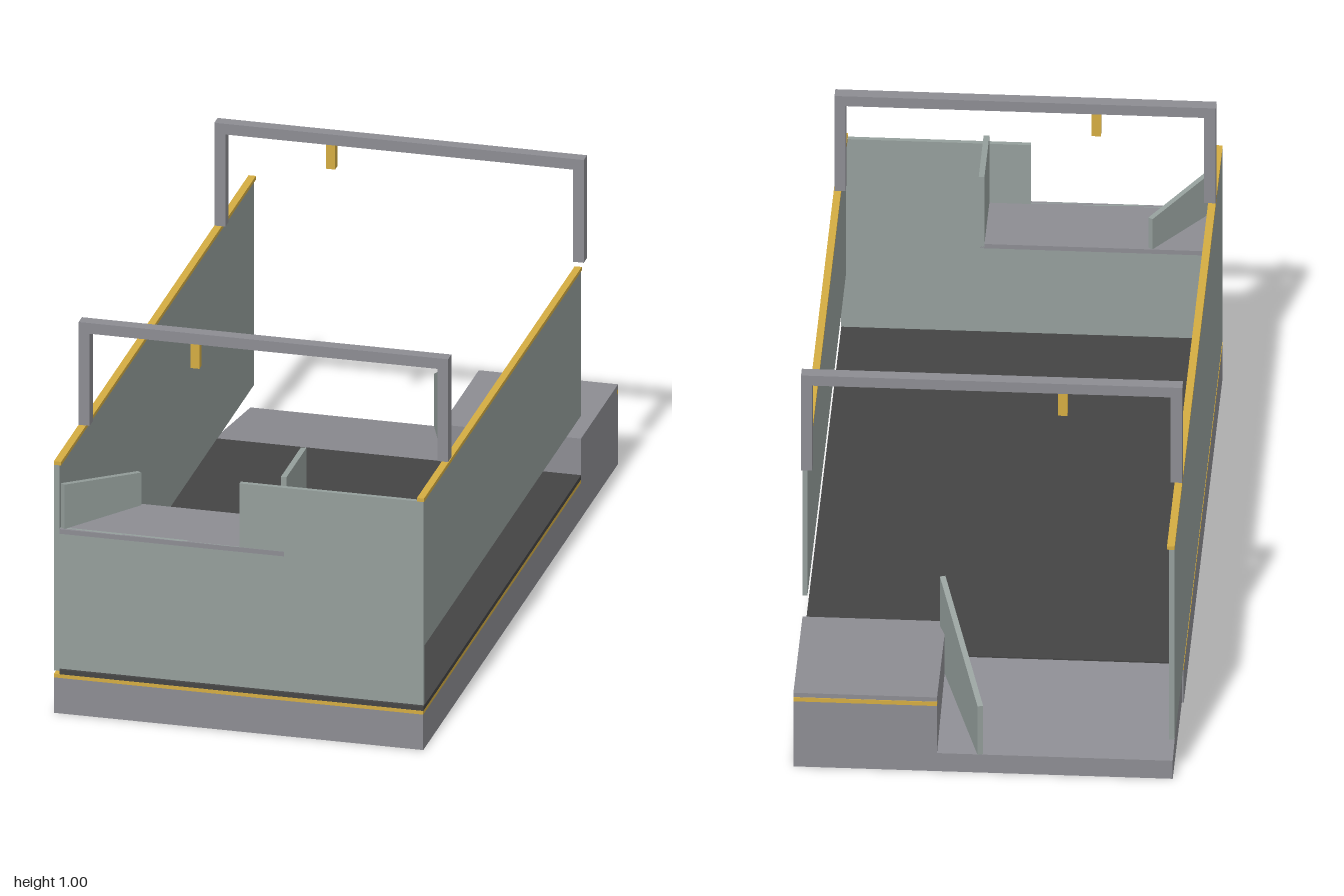
import * as THREE from 'three';

const mat = (color) => new THREE.MeshStandardMaterial({ color });

export function createModel() {
  const model = new THREE.Group();
  const hullMat = mat(0x8c8c92), wallMat = mat(0x949e9b);
  const floorMat = mat(0x444444), trimMat = mat(0xd4ac42);

  const add = (name, geometry, material) => {
    const mesh = new THREE.Mesh(geometry, material);
    mesh.name = name;
    model.add(mesh);
    return mesh;
  };

  // Box given by its extents on each axis
  const box = (name, material, [x0, x1], [y0, y1], [z0, z1]) => {
    const mesh = add(name, new THREE.BoxGeometry(x1 - x0, y1 - y0, z1 - z0), material);
    mesh.position.set((x0 + x1) / 2, (y0 + y1) / 2, (z0 + z1) / 2);
    return mesh;
  };

  const extrude = (points, depth) => new THREE.ExtrudeGeometry(
    new THREE.Shape(points.map(([x, y]) => new THREE.Vector2(x, y))),
    { depth, bevelEnabled: false });

  // Upright panel between two plan points [x, z], each with its bottom and top heights
  const panel = (name, material, a, b, [a0, a1], [b0, b1], t) => {
    const dx = b[0] - a[0], dz = b[1] - a[1], len = Math.hypot(dx, dz);
    const g = extrude([[0, a0], [len, b0], [len, b1], [0, a1]], t);
    g.translate(0, 0, -t / 2);
    const mesh = add(name, g, material);
    mesh.position.set(a[0], 0, a[1]);
    mesh.rotation.y = Math.atan2(-dz, dx);
  };

  // Base, trim band and floor
  box('baseHull', hullMat, [-0.5, 0.495], [0, 0.1], [-0.62, 1]);
  box('baseTrim', trimMat, [-0.5, 0.495], [0.1, 0.11], [-0.62, 1]);
  box('floor', floorMat, [-0.485, 0.495], [0.11, 0.122], [-0.62, 0.999]);

  // Rear block with its trim strip
  box('rearBlock', hullMat, [0.12, 0.495], [0, 0.225], [-1, -0.62]);
  box('rearBlockTrim', trimMat, [0.12, 0.495], [0.2, 0.212], [-1.002, -0.99]);

  // Rear ramp, its profile drawn along z and extruded across x
  const ramp = extrude([[0.62, 0], [1, 0], [1, 0.055], [0.62, 0.118]], 0.615);
  ramp.rotateY(Math.PI / 2);
  ramp.translate(-0.495, 0, 0);
  add('rearRamp', ramp, hullMat);
  panel('rampFin', wallMat, [0.128, -0.64], [0.007, -1], [0.11, 0.375], [0.055, 0.203], 0.015);

  // Side walls with top rails
  box('rightWall', wallMat, [-0.5, -0.485], [0.12, 0.7], [-1, 1]);
  box('leftWall', wallMat, [0.482, 0.495], [0.29, 0.7], [-0.62, 0.99]);
  box('rightRail', trimMat, [-0.5, -0.48], [0.7, 0.71], [-1, 1]);
  box('leftRail', trimMat, [0.478, 0.497], [0.7, 0.71], [-0.62, 1]);

  // Front wall, stepped down on one side
  const front = extrude([[-0.485, 0.126], [0.495, 0.126], [0.495, 0.7],
    [0, 0.7], [0, 0.52], [-0.485, 0.52]], 0.013);
  front.translate(0, 0, 0.986);
  add('frontWall', front, wallMat);

  // Front shelf with apron, divider and slanted guide
  box('shelf', hullMat, [-0.485, 0.12], [0.507, 0.52], [0.78, 1]);
  box('shelfApron', wallMat, [-0.485, 0.12], [0.43, 0.507], [0.78, 0.793]);
  box('shelfDivider', wallMat, [0.108, 0.123], [0.44, 0.725], [0.78, 0.986]);
  panel('shelfGuide', wallMat, [-0.478, 0.992], [-0.325, 0.785],
    [0.52, 0.645], [0.52, 0.612], 0.014);

  // Overhead arches with a hanging hook block
  for (const [name, z] of [['frontArch', 0.728], ['rearArch', -0.665]]) {
    const depth = [z - 0.017, z + 0.017];
    box(name + 'Beam', hullMat, [-0.5, 0.495], [0.97, 1], depth);
    box(name + 'RightPost', hullMat, [-0.5, -0.47], [0.71, 0.97], depth);
    box(name + 'LeftPost', hullMat, [0.466, 0.495], [0.71, 0.97], depth);
    box(name + 'Hook', trimMat, [-0.2, -0.176], [0.9, 0.97], [z - 0.012, z + 0.012]);
  }

  return model;
}
